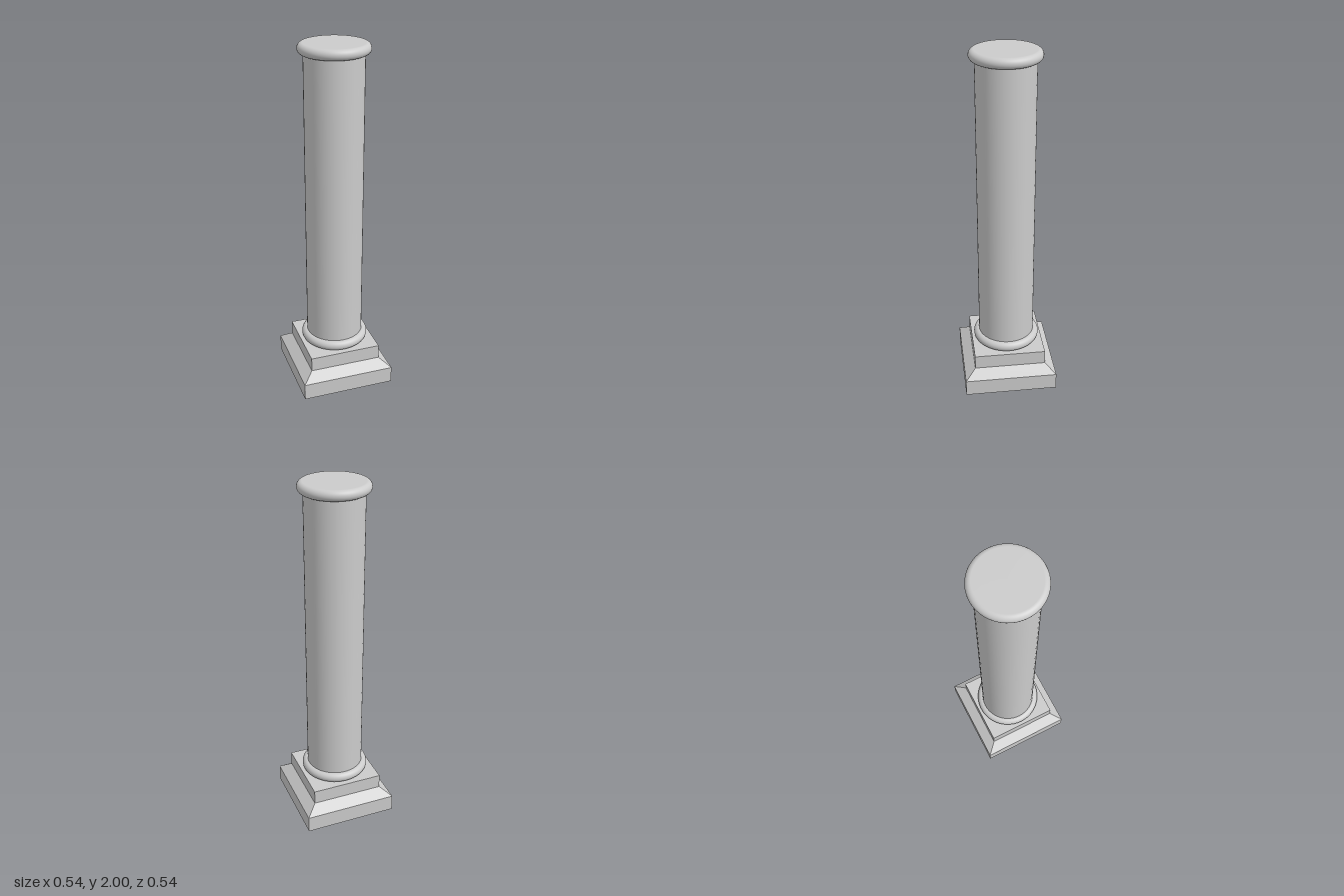
import * as THREE from 'three';

const material = new THREE.MeshStandardMaterial({ color: 0xcccccc });
const SIDES = 48;

function part(name, geometry, y = 0) {
  const mesh = new THREE.Mesh(geometry, material);
  mesh.name = name;
  mesh.position.y = y;
  return mesh;
}

// Square stepped block: a four-sided lathe of [half width, height] pairs, with hard edges
function squareLathe(profile) {
  const points = profile.map(([half, y]) => new THREE.Vector2(half * Math.SQRT2, y));
  const geometry = new THREE.LatheGeometry(points, 4, Math.PI / 4).toNonIndexed();
  geometry.computeVertexNormals();
  return geometry;
}

// Round moulding: half-circle rim closed by flat discs above and below
function rollGeometry(radius, tube, steps = 16) {
  const points = [new THREE.Vector2(0, -tube)];
  for (let i = 0; i <= steps; i++) {
    const a = -Math.PI / 2 + (Math.PI * i) / steps;
    points.push(new THREE.Vector2(radius + tube * Math.cos(a), tube * Math.sin(a)));
  }
  points.push(new THREE.Vector2(0, tube));
  return new THREE.LatheGeometry(points, SIDES);
}

export function createModel() {
  const column = new THREE.Group();
  column.name = 'column';

  // Plinth with a sloped shoulder and a narrower upper block
  column.add(part('plinth', squareLathe([
    [0, 0], [0.269, 0], [0.269, 0.098], [0.208, 0.145], [0.208, 0.228], [0, 0.228],
  ])));

  // Shaft, its ends hidden inside the mouldings
  const bottom = 0.257, top = 1.971;
  column.add(part('shaft',
    new THREE.CylinderGeometry(0.163, 0.163, top - bottom, SIDES), (bottom + top) / 2));

  // Matching mouldings at the foot and the head
  const roll = rollGeometry(0.165, 0.029);
  column.add(part('baseMoulding', roll, bottom));
  column.add(part('topMoulding', roll, top));

  return column;
}
